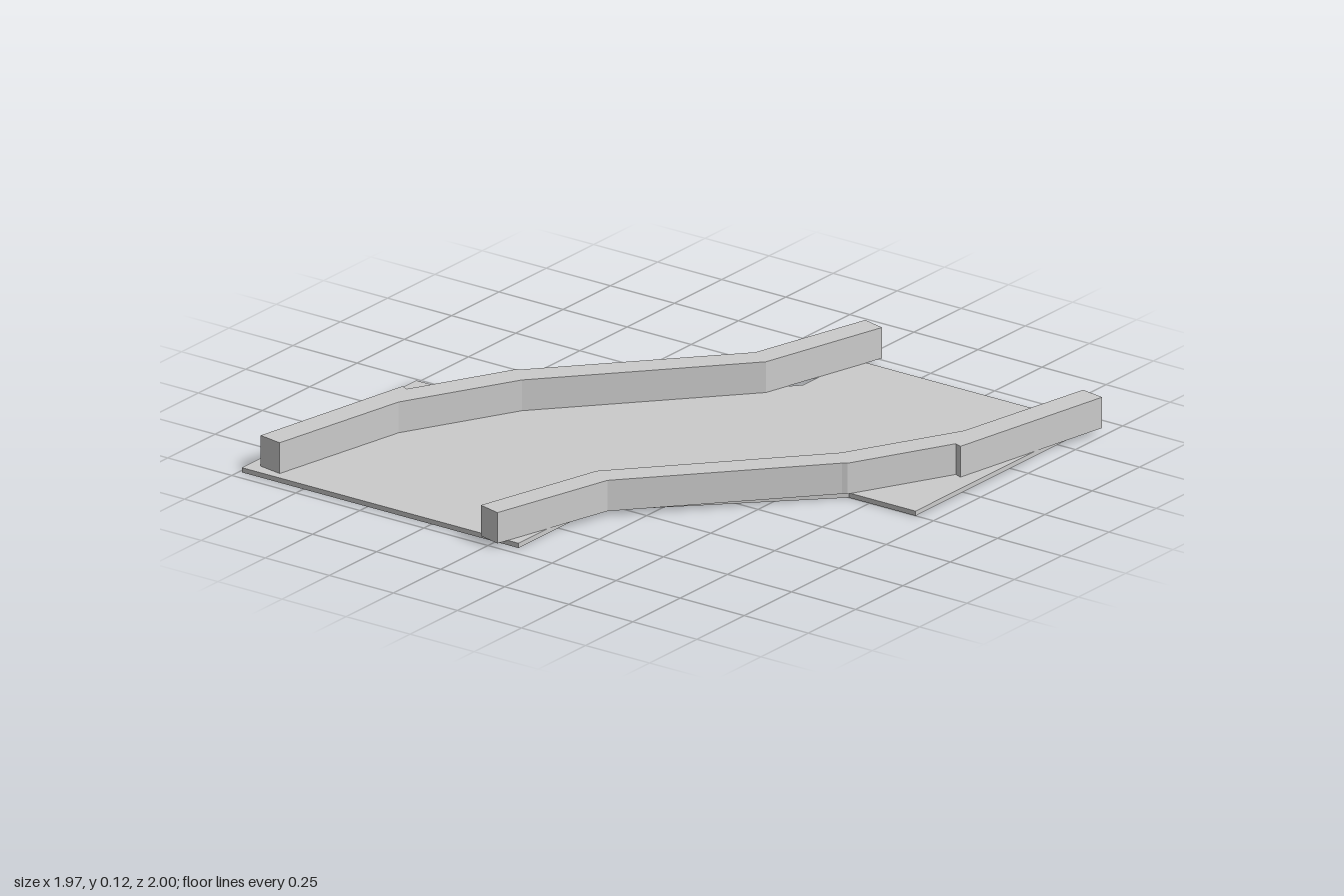
import * as THREE from 'three';

const FLOOR = 0.016, TOP = 0.12;

// Extrudes a plan outline of [x, z] corners upward from y0 to y1.
function slab(name, outline, y0, y1, material) {
  const shape = new THREE.Shape(outline.map(([x, z]) => new THREE.Vector2(x, -z)));
  const geometry = new THREE.ExtrudeGeometry(shape, { depth: y1 - y0, bevelEnabled: false });
  geometry.rotateX(-Math.PI / 2).translate(0, y0, 0);
  const mesh = new THREE.Mesh(geometry, material);
  mesh.name = name;
  return mesh;
}

export function createModel() {
  const group = new THREE.Group();
  group.name = 'walledPath';
  const material = new THREE.MeshStandardMaterial({ color: 0xcccccc, flatShading: true });

  // Floor: two offset landings joined by a diagonal stretch
  const floor = [
    [0.01, -0.92], [0.93, -0.92], [0.93, 0], [0.67, 0], [0.09, 0.57],
    [0.09, 0.96], [-0.99, 0.96], [-0.99, 0.04], [-0.62, 0.04], [0.01, -0.65],
  ];
  group.add(slab('floor', floor, 0, FLOOR, material));

  // Bent wall with a small step where its sections meet
  const wall = [
    [-0.005, -1], [0.075, -0.98], [-0.045, -0.53], [-0.57, 0.05], [-0.77, 0.43],
    [-0.865, 0.93], [-0.95, 0.915], [-0.84, 0.315], [-0.815, 0.325],
    [-0.64, -0.01], [-0.625, -0.02], [-0.12, -0.575],
  ];
  group.add(slab('rightWall', wall, FLOOR, TOP, material));

  // The other wall is the same one turned half way round
  const turned = wall.map(([x, z]) => [0.032 - x, -z]);
  group.add(slab('leftWall', turned, FLOOR, TOP, material));

  return group;
}
